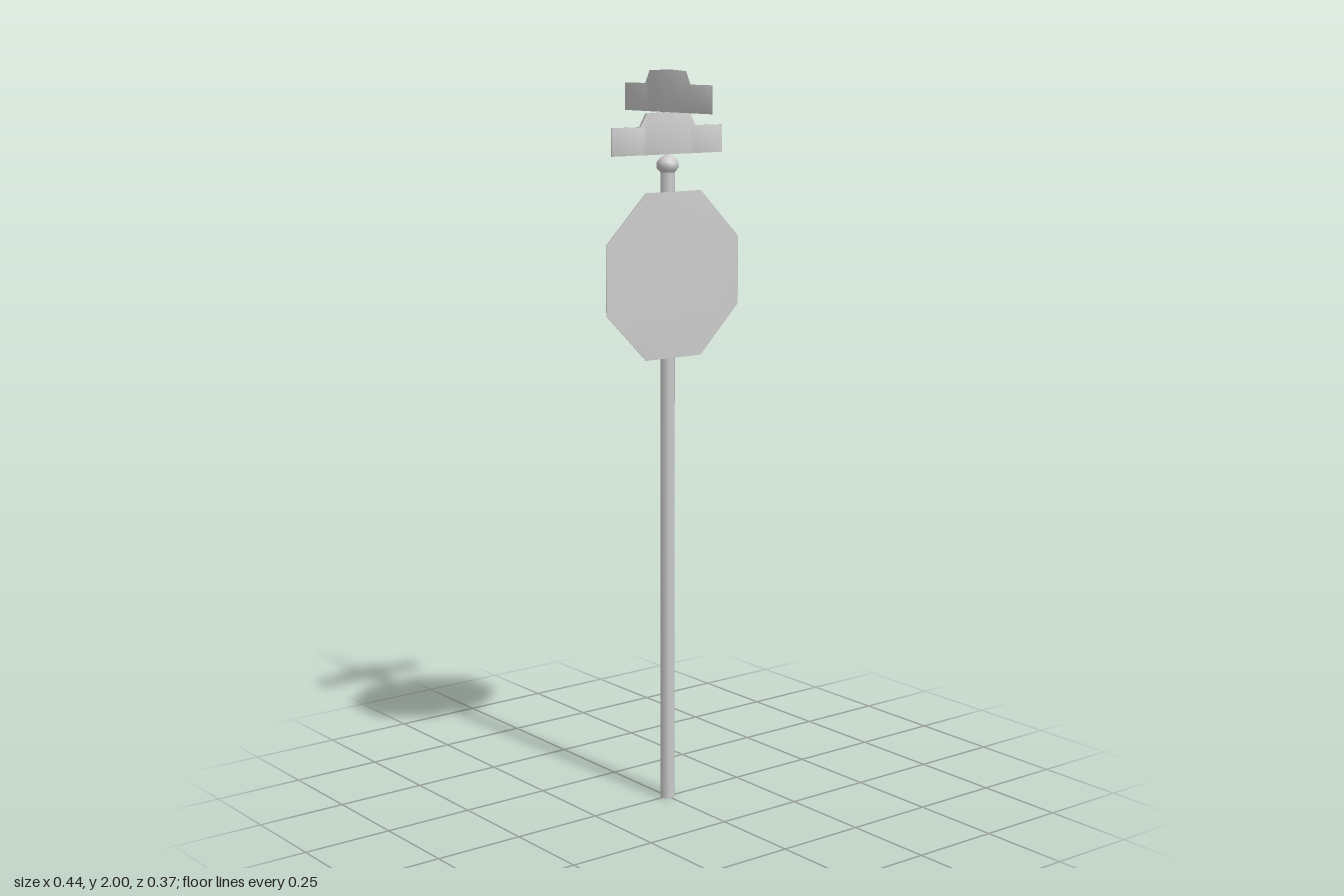
import * as THREE from 'three';
import { mergeVertices } from 'three/addons/utils/BufferGeometryUtils.js';

// Weld corners so shading flows softly over the thin plates
function soften(geometry) {
  geometry.deleteAttribute('normal');
  geometry.deleteAttribute('uv');
  const welded = mergeVertices(geometry, 1e-5);
  welded.computeVertexNormals();
  return welded;
}

// Name blade: rectangular sections [x, height, half thickness] joined end to end
function bladeGeometry() {
  const half = [[0.183, 0.073, 0.003], [0.09, 0.073, 0.0055], [0.07, 0.107, 0.006]];
  const stations = [
    ...half.map(([x, h, t]) => [-x, h, t]),
    [0, 0.11, 0.007],
    ...half.slice().reverse(),
  ];
  const pos = [];
  const index = [];
  for (const [x, h, t] of stations) pos.push(x, 0, t, x, h, t, x, h, -t, x, 0, -t);
  for (let s = 0; s < stations.length - 1; s++) {
    for (let k = 0; k < 4; k++) {
      const a = s * 4 + k, b = s * 4 + (k + 1) % 4;
      index.push(a, a + 4, b, b, a + 4, b + 4);
    }
  }
  const e = (stations.length - 1) * 4;
  index.push(0, 1, 2, 0, 2, 3, e, e + 2, e + 1, e, e + 3, e + 2);
  const geometry = new THREE.BufferGeometry();
  geometry.setAttribute('position', new THREE.Float32BufferAttribute(pos, 3));
  geometry.setIndex(index);
  geometry.computeVertexNormals();
  return geometry;
}

export function createModel() {
  const group = new THREE.Group();
  const metal = new THREE.MeshStandardMaterial({ color: 0xcccccc });
  metal.name = 'grey metal';

  const add = (name, geometry, y = 0, z = 0) => {
    const mesh = new THREE.Mesh(geometry, metal);
    mesh.name = name;
    mesh.position.set(0, y, z);
    group.add(mesh);
    return mesh;
  };
  // Eight-sided turned part with flats facing the axes
  const turned = (points) => new THREE.LatheGeometry(
    points.map(([r, y]) => new THREE.Vector2(r, y)), 8, Math.PI / 8);

  // Post
  add('post', turned([[0, 0], [0.02, 0], [0.02, 1.75]]));

  // Clamps holding the plate
  for (const [name, y] of [['lowerClamp', 1.28], ['upperClamp', 1.645]]) {
    add(name, turned([[0.019, -0.014], [0.025, -0.008], [0.025, 0.008], [0.019, 0.014]]), y);
  }

  // Cap on the post
  add('postCap', turned([[0.019, 1.732], [0.03, 1.744], [0.03, 1.76], [0.02, 1.772], [0, 1.782]]));

  // Octagonal plate
  const w = 0.221, c = 0.092;
  const outline = [[c, -w], [w, -c], [w, c], [c, w], [-c, w], [-w, c], [-w, -c], [-c, -w]];
  const plate = new THREE.ExtrudeGeometry(
    new THREE.Shape(outline.map(([x, y]) => new THREE.Vector2(x, y))),
    { depth: 0.003, bevelEnabled: false });
  add('octagonPlate', soften(plate), 1.462, 0.024);

  // Crossed name blades, one above the other
  const blade = bladeGeometry();
  add('lowerBlade', blade, 1.78);
  add('upperBlade', blade, 1.89).rotation.y = Math.PI / 2;

  return group;
}
